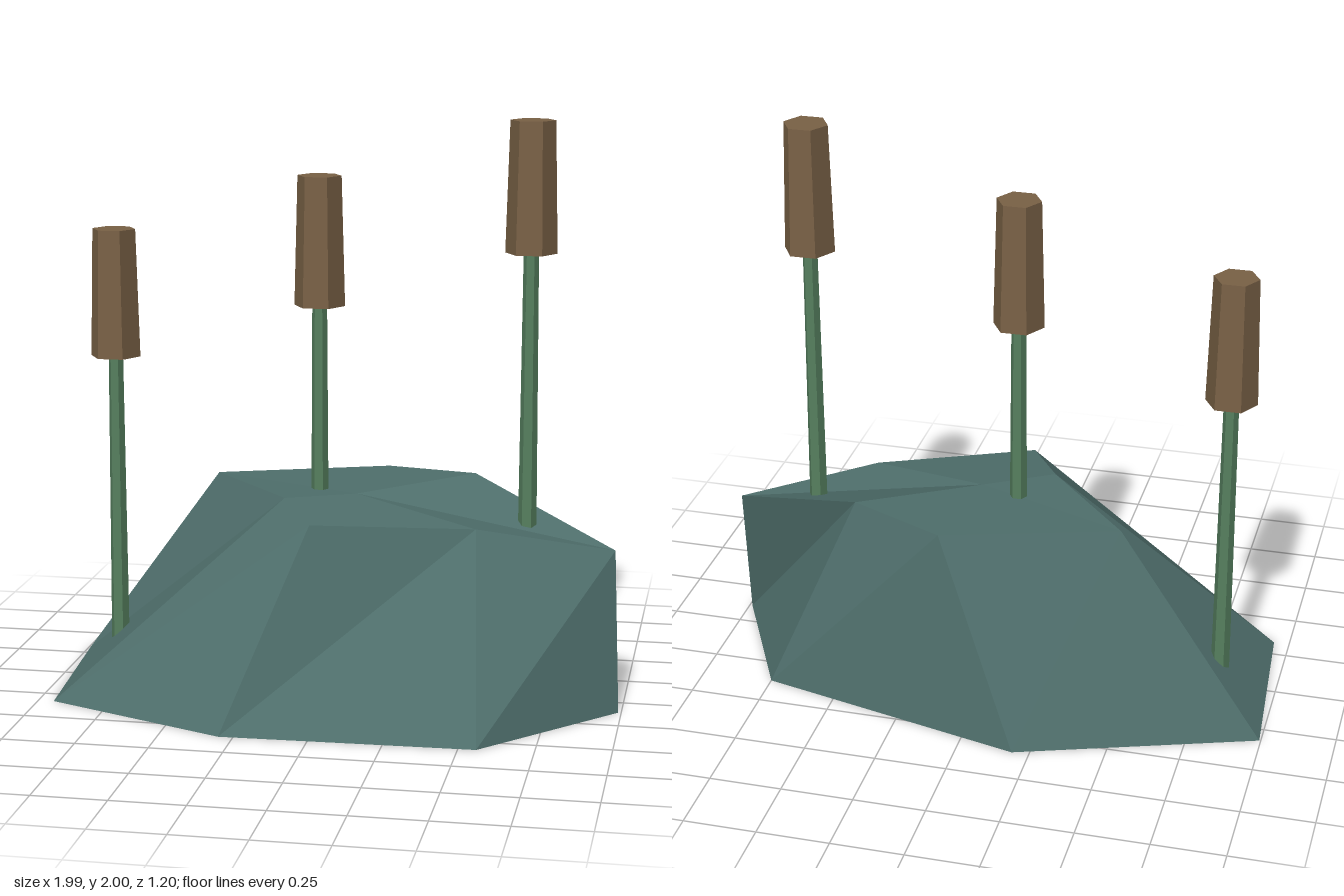
import * as THREE from 'three';

const flat = (color, name) => {
  const m = new THREE.MeshStandardMaterial({ color });
  m.name = name;
  m.flatShading = true;
  return m;
};

// Faceted solid joining a lower ring to an upper ring, closed by fans at both ends
function makeRock(bottom, top, bottomCentre, topCentre) {
  const pos = [];
  const tri = (...pts) => pts.forEach(p => pos.push(...p));
  const n = bottom.length;
  for (let i = 0; i < n; i++) {
    const j = (i + 1) % n;
    tri(top[i], bottom[i], top[j]);
    tri(bottom[i], bottom[j], top[j]);
    tri(topCentre, top[i], top[j]);
    tri(bottomCentre, bottom[j], bottom[i]);
  }
  const g = new THREE.BufferGeometry();
  g.setAttribute('position', new THREE.Float32BufferAttribute(pos, 3));
  g.computeVertexNormals();
  return g;
}

export function createModel() {
  const model = new THREE.Group();
  model.name = 'rockWithReeds';
  const stone = flat(0x4f6f6c, 'stone');
  const green = flat(0x56805f, 'stem green');
  const brown = flat(0x7a6246, 'reed brown');

  const add = (parent, geometry, material, name, x = 0, y = 0, z = 0) => {
    const mesh = new THREE.Mesh(geometry, material);
    mesh.name = name;
    mesh.position.set(x, y, z);
    parent.add(mesh);
  };

  // Rock: rings run from the front round by +x to the back
  const base = [
    [-0.30, 0, 0.60], [0.56, 0, 0.58], [0.99, 0, 0.11], [0.75, 0, -0.37],
    [-0.19, 0, -0.60], [-0.995, 0, -0.32], [-0.945, 0, 0.33],
  ];
  const crown = [
    [-0.04, 0.67, 0.34], [0.50, 0.637, 0.165], [0.96, 0.537, -0.02], [0.44, 0.725, -0.30],
    [0.11, 0.71, -0.43], [-0.48, 0.705, -0.24], [-0.17, 0.705, 0.11],
  ];
  add(model, makeRock(base, crown, [0, 0, 0], [0.06, 0.70, -0.02]), stone, 'rock');

  // Reeds: tapered six-sided stem rooted in the rock, with a tapered head
  const hex = (rTop, rBottom, h) =>
    new THREE.CylinderGeometry(rTop, rBottom, h, 6, 1, false, Math.PI / 6);
  const headHeight = 0.45, z = -0.07;
  [-0.81, -0.08, 0.65].forEach((x, i) => {
    const reed = new THREE.Group();
    reed.name = 'reed' + (i + 1);
    const root = 0.05 + i * 0.2;
    const headBase = 1.15 + i * 0.2;
    const length = headBase - root + 0.02;
    add(reed, hex(0.026, 0.033, length), green, 'stem', x, root + length / 2, z);
    add(reed, hex(0.077, 0.089, headHeight), brown, 'reedHead', x, headBase + headHeight / 2, z);
    model.add(reed);
  });
  return model;
}
